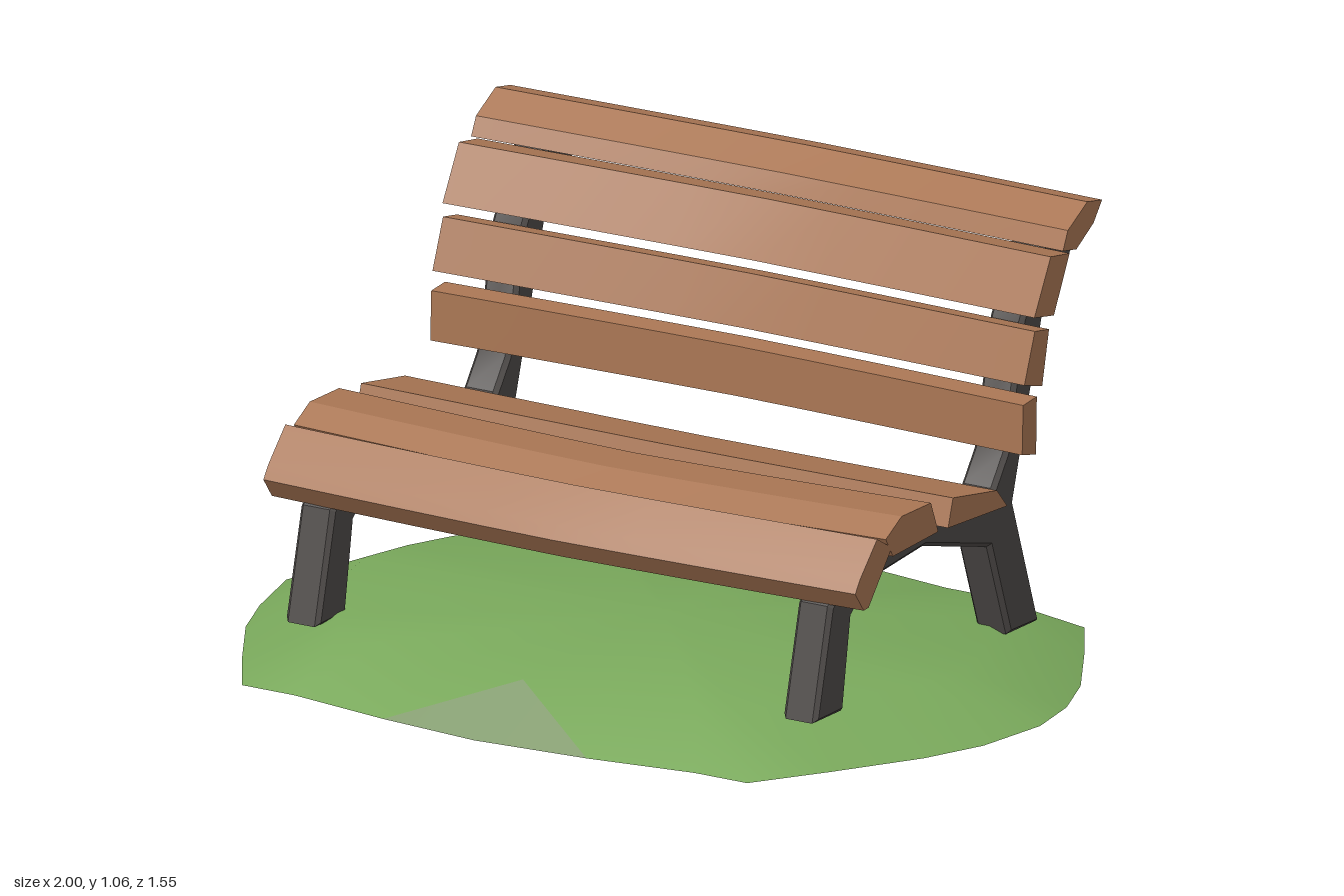
import * as THREE from 'three';
import { toCreasedNormals } from 'three/addons/utils/BufferGeometryUtils.js';

const wood = new THREE.MeshStandardMaterial({ name: 'wood', color: 0xa87553 });
const iron = new THREE.MeshStandardMaterial({ name: 'dark iron', color: 0x4d4947 });
const grass = new THREE.MeshStandardMaterial({ name: 'grass', color: 0x79a85b, side: THREE.DoubleSide });
const dryGrass = new THREE.MeshStandardMaterial({ name: 'dry grass', color: 0x869e72, side: THREE.DoubleSide });

function build(name, positions, index, material, crease) {
  const g = new THREE.BufferGeometry();
  g.setAttribute('position', new THREE.Float32BufferAttribute(positions, 3));
  g.setIndex(index);
  const mesh = new THREE.Mesh(toCreasedNormals(g, crease), material);
  mesh.name = name;
  return mesh;
}

// A plank lofted along x from a [z, y] section; its middle is moved by bowZ, bowY
function plank(name, section, bowZ, bowY) {
  const pts = section.map(([z, y]) => new THREE.Vector2(z, y));
  if (THREE.ShapeUtils.area(pts) < 0) pts.reverse();
  const n = pts.length, steps = 8, half = 0.785, pos = [], idx = [];
  for (let s = 0; s <= steps; s++) {
    const t = (s / steps) * 2 - 1;
    const bow = 1 - Math.abs(t) ** 1.3;
    for (const p of pts) pos.push(t * half, p.y + bowY * bow, p.x + bowZ * bow);
  }
  for (let s = 0; s < steps; s++) {
    for (let i = 0; i < n; i++) {
      const a = s * n + i, b = s * n + (i + 1) % n;
      idx.push(a, a + n, b + n, a, b + n, b);
    }
  }
  const last = steps * n;
  for (let i = 1; i < n - 1; i++) {
    idx.push(0, i, i + 1, last, last + i + 1, last + i);
  }
  return build(name, pos, idx, wood, 0.45);
}

// One side frame: front leg, seat rail, rear leg and back post in one piece
function sideFrame(name, x) {
  const outline = [
    [0.463, 0.083], [0.346, 0.083], [0.312, 0.296], [0.233, 0.358], [0.012, 0.379],
    [-0.25, 0.308], [-0.33, 0.083], [-0.454, 0.083], [-0.35, 0.39], [-0.475, 0.804],
    [-0.635, 0.954], [-0.58, 1.01], [-0.47, 0.955], [-0.383, 0.8], [-0.317, 0.51],
    [-0.267, 0.44], [-0.21, 0.425], [0.025, 0.445], [0.275, 0.44], [0.4, 0.34],
  ];
  const shape = new THREE.Shape(outline.map(([z, y]) => new THREE.Vector2(z, y)));
  const bevel = 0.01, width = 0.09;
  const g = new THREE.ExtrudeGeometry(shape, {
    depth: width - 2 * bevel, bevelEnabled: true, bevelSegments: 1,
    bevelSize: bevel, bevelThickness: bevel, bevelOffset: -bevel,
  });
  g.translate(0, 0, bevel - width / 2);
  g.rotateY(-Math.PI / 2);
  const mesh = new THREE.Mesh(toCreasedNormals(g, 0.4), iron);
  mesh.name = name;
  mesh.position.x = x;
  return mesh;
}

// Low open mound of grass with a dry patch at the front and back
function mound() {
  const quarter = [[0, 0.775], [0.27, 0.73], [0.53, 0.69], [0.67, 0.69], [0.78, 0.52], [0.9, 0.32], [0.96, 0.17], [1, 0]];
  const right = [...quarter, ...quarter.slice(0, -1).reverse().map(([x, z]) => [x, -z])];
  const rim = [...right, ...right.slice(1, -1).reverse().map(([x, z]) => [-x, z])];
  const n = rim.length, pos = [], green = [], dry = [];
  for (const [x, z] of rim) pos.push(x, x === 0 || z === 0 ? 0.008 : 0, z);
  for (const [x, z] of rim) pos.push(x * 0.79, 0.097, z * 0.74);
  pos.push(0, 0.105, 0);
  for (let i = 0; i < n; i++) {
    const j = (i + 1) % n;
    const fromTip = rim[i][0] === 0, toTip = rim[j][0] === 0;
    // Split each slope quad so that the dry triangles meet at the mound's crest
    if (toTip) {
      dry.push(i, j, n + j);
      green.push(i, n + j, n + i);
    } else {
      (fromTip ? dry : green).push(i, j, n + i);
      green.push(j, n + j, n + i);
    }
    green.push(n + i, n + j, 2 * n);
  }
  const group = new THREE.Group();
  group.name = 'ground';
  group.add(build('grassMound', pos, green, grass, 0.6), build('dryPatches', pos, dry, dryGrass, 0.6));
  return group;
}

export function createModel() {
  const model = new THREE.Group();
  model.name = 'parkBench';
  model.add(mound(), sideFrame('leftFrame', 0.66), sideFrame('rightFrame', -0.66));

  // Seat planks
  model.add(
    plank('seatLip', [[0.425, 0.39], [0.405, 0.42], [0.335, 0.495], [0.275, 0.46], [0.37, 0.345], [0.39, 0.343]], 0.028, 0),
    plank('frontSeatPlank', [[0.3, 0.485], [0.235, 0.522], [0.115, 0.522], [0.085, 0.447], [0.27, 0.438]], 0.005, -0.015),
    plank('rearSeatPlank', [[0.025, 0.51], [-0.155, 0.48], [-0.197, 0.433], [0.045, 0.445]], -0.008, -0.008),
  );

  // Backrest planks, bowed towards the rear
  model.add(
    plank('lowerBackPlank', [[-0.262, 0.65], [-0.318, 0.656], [-0.315, 0.522], [-0.258, 0.535]], -0.035, -0.004),
    plank('middleBackPlank', [[-0.31, 0.81], [-0.368, 0.8], [-0.34, 0.675], [-0.267, 0.695]], -0.04, -0.008),
    plank('upperBackPlank', [[-0.375, 0.967], [-0.452, 0.955], [-0.388, 0.827], [-0.308, 0.842]], -0.045, -0.01),
    plank('topBackPlank', [[-0.425, 0.967], [-0.445, 1.01], [-0.525, 1.056], [-0.585, 1.045], [-0.55, 1.0], [-0.48, 0.957]], -0.055, -0.015),
  );
  return model;
}
